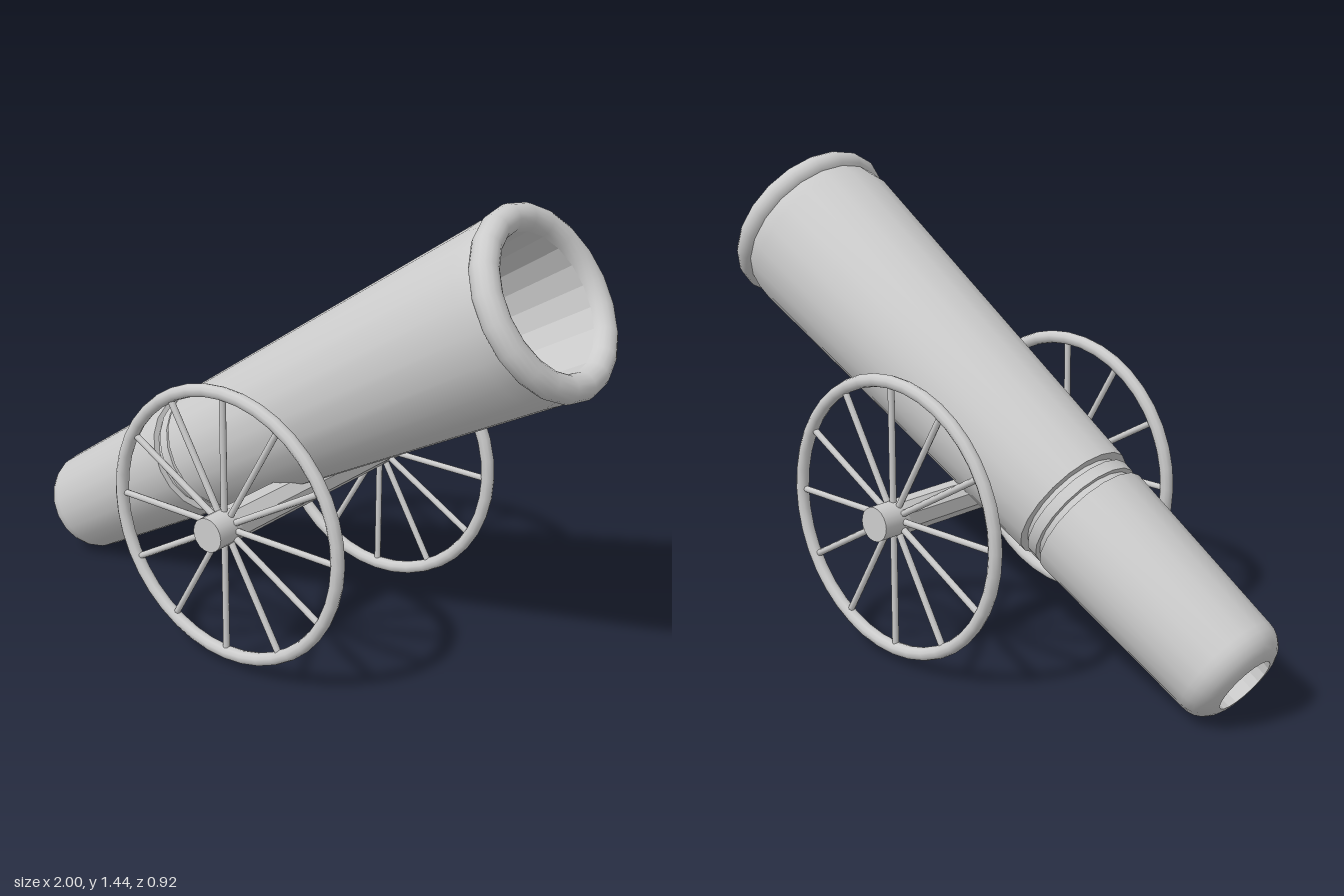
import * as THREE from 'three';
import { toCreasedNormals } from 'three/addons/utils/BufferGeometryUtils.js';

const smooth = new THREE.MeshStandardMaterial({ color: 0xcccccc });
const faceted = new THREE.MeshStandardMaterial({ color: 0xcccccc, flatShading: true });

const TILT = THREE.MathUtils.degToRad(31.2); // barrel elevation
const SIDES = 20;

function addMesh(parent, name, geometry, material = smooth) {
  const mesh = new THREE.Mesh(geometry, material);
  mesh.name = name;
  parent.add(mesh);
  return mesh;
}

// Turned part around the barrel axis; points are [radius, distance along axis]
function turned(points) {
  const profile = points.map(([r, t]) => new THREE.Vector2(r, t));
  return toCreasedNormals(new THREE.LatheGeometry(profile, SIDES), 0.7);
}

// Points on a rounded edge, angles in degrees from the radial direction
function arc(r, t, radius, from, to, steps) {
  return Array.from({ length: steps + 1 }, (_, i) => {
    const a = THREE.MathUtils.degToRad(from + (to - from) * i / steps);
    return [r + radius * Math.cos(a), t + radius * Math.sin(a)];
  });
}

function createBarrel() {
  const barrel = new THREE.Group();
  barrel.name = 'barrel';

  // Rounded rear section, ending in a step at the groove
  addMesh(barrel, 'breech', turned([
    ...arc(0.093, -0.686, 0.075, -90, 0, 6),
    [0.194, -0.11], [0.174, -0.11], [0.174, -0.085],
  ]));

  // Narrow ring inside the groove
  addMesh(barrel, 'grooveRing', turned([
    [0.174, -0.085], [0.189, -0.085], [0.19, -0.05], [0.174, -0.05], [0.174, -0.03],
  ]));

  // Long front section, flaring towards the muzzle
  addMesh(barrel, 'chase', turned([
    [0.174, -0.03], [0.2, -0.03], [0.268, 1.235], [0.258, 1.29],
  ]));

  // Rounded lip
  addMesh(barrel, 'muzzleLip', turned(arc(0.24, 1.32, 0.04, -90, 180, 12)));

  // Tapered bore, open at both ends
  addMesh(barrel, 'bore', new THREE.LatheGeometry(
    [new THREE.Vector2(0.2, 1.32), new THREE.Vector2(0.093, -0.761)], SIDES), faceted);

  barrel.rotation.z = TILT - Math.PI / 2;
  barrel.position.set(-0.307, 0.506, 0);
  return barrel;
}

function createWheel() {
  const wheel = new THREE.Group();
  wheel.name = 'wheel';
  addMesh(wheel, 'rim', new THREE.TorusGeometry(0.411, 0.02, 10, 40));

  // Twelve spokes radiating from the hub
  const spoke = new THREE.CylinderGeometry(0.01, 0.01, 0.405, 8, 1, true);
  spoke.translate(0, 0.2025, 0);
  for (let i = 0; i < 12; i++) {
    addMesh(wheel, 'spoke', spoke).rotation.z = i * Math.PI / 6;
  }

  const hub = new THREE.CylinderGeometry(0.052, 0.052, 0.096, 20);
  hub.rotateX(Math.PI / 2);
  addMesh(wheel, 'hub', hub).position.z = 0.028;
  return wheel;
}

export function createModel() {
  const model = new THREE.Group();
  model.name = 'cannon';
  model.add(createBarrel());

  // Carriage: octagonal axle with a wheel at each end
  const carriage = new THREE.Group();
  carriage.name = 'carriage';
  carriage.position.set(0.03, 0.453, 0);
  const axle = new THREE.CylinderGeometry(0.054, 0.054, 0.74, 8);
  axle.rotateY(Math.PI / 8);
  axle.rotateX(Math.PI / 2);
  addMesh(carriage, 'axle', axle, faceted);
  for (const side of [1, -1]) {
    const wheel = createWheel();
    wheel.position.z = side * 0.384;
    if (side < 0) wheel.rotation.y = Math.PI;
    carriage.add(wheel);
  }
  model.add(carriage);
  return model;
}
